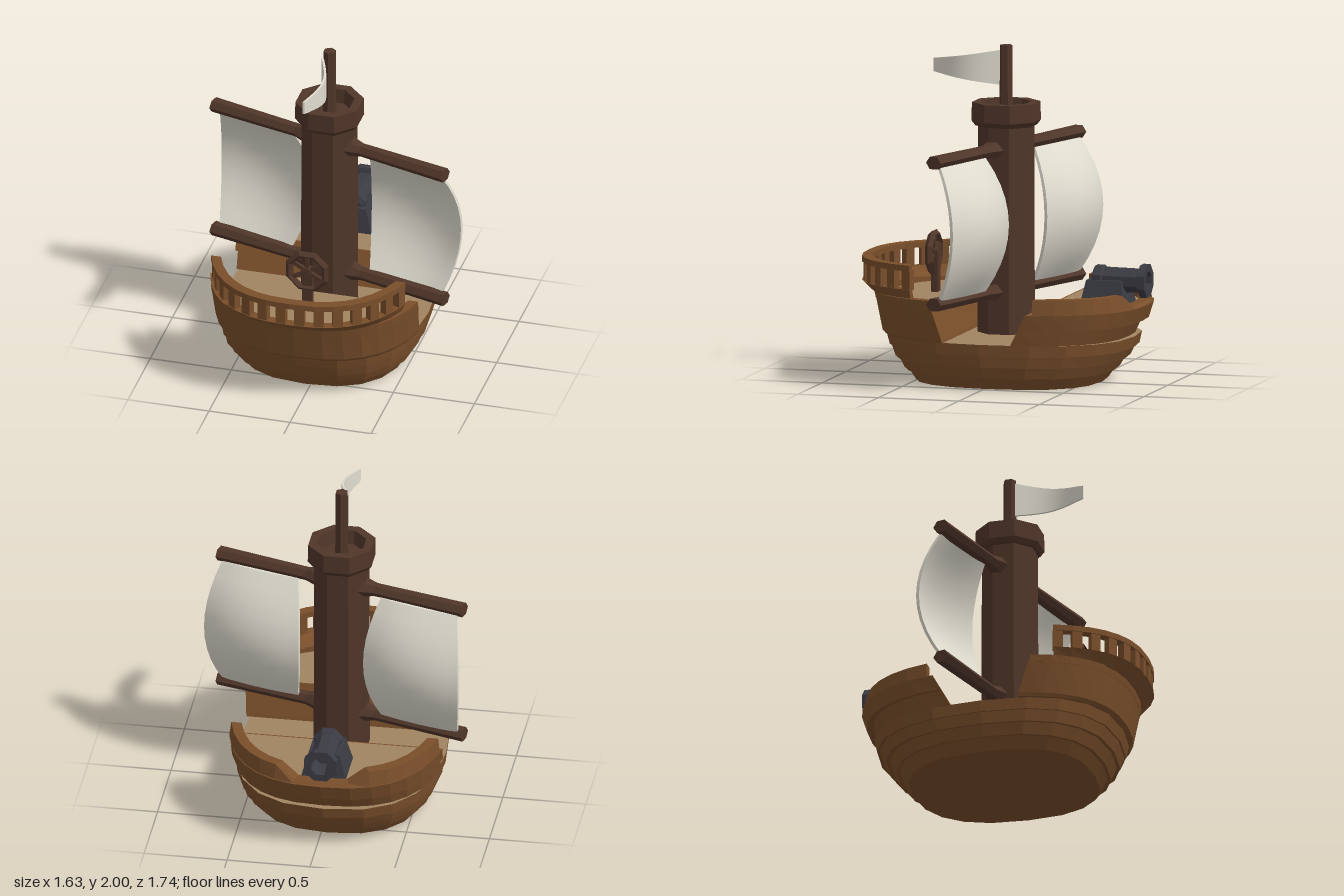
import * as THREE from 'three';

const mat = (name, color, side = THREE.FrontSide) => {
  const m = new THREE.MeshStandardMaterial({ color, side });
  m.name = name;
  return m;
};

export function createModel() {
  const hullWood = mat('hull wood', 0x7a4f2b);
  const deckWood = mat('deck wood', 0xa08460);
  const darkWood = mat('dark wood', 0x50362a);
  const canvas = mat('sail canvas', 0xe0ddd0, THREE.DoubleSide);
  const iron = mat('iron', 0x3b3b43);

  const model = new THREE.Group();
  model.name = 'sailingShip';

  // Adds a mesh; faceted unless smooth is asked for
  function add(name, geo, material, parent, pos = [0, 0, 0], rot = [0, 0, 0], smooth = false) {
    const g = smooth || !geo.index ? geo : geo.toNonIndexed();
    g.computeVertexNormals();
    const m = new THREE.Mesh(g, material);
    m.name = name;
    m.position.set(...pos);
    m.rotation.set(...rot);
    parent.add(m);
    return m;
  }

  const fromPoints = (pts) => new THREE.BufferGeometry().setFromPoints(pts);

  // Hull outline at height y; with a cut, only the part beyond z = cut on one side (1 front, -1 back)
  const POW = 2 / 2.5;
  function outline(y, hx, zf, zb, cut = 0, side = 0, n = 20) {
    const zr = side < 0 ? zb : zf;
    const a = Math.asin(Math.pow(cut / zr, 1 / POW));
    const start = side === 0 ? 0 : side > 0 ? a : Math.PI + a;
    const span = side === 0 ? Math.PI * 2 : Math.PI - 2 * a;
    const count = side === 0 ? n : n + 1;
    return Array.from({ length: count }, (_, i) => {
      const t = start + (span * i) / n, c = Math.cos(t), s = Math.sin(t);
      const bend = (v) => Math.sign(v) * Math.pow(Math.abs(v), POW);
      return new THREE.Vector3(hx * bend(c), y, (s > 0 ? zf : zb) * bend(s));
    });
  }

  // Skin over a stack of outlines
  function loft(rings, closed = true) {
    const out = [];
    for (let i = 0; i < rings.length - 1; i++) {
      const n = rings[i].length;
      for (let j = 0; j < (closed ? n : n - 1); j++) {
        const k = (j + 1) % n;
        const a = rings[i][j], b = rings[i][k], c = rings[i + 1][k], d = rings[i + 1][j];
        out.push(a, d, c, a, c, b);
      }
    }
    return out;
  }

  // Flat lid on an outline
  function lid(ring, up) {
    const mid = ring.reduce((s, p) => s.add(p), new THREE.Vector3()).divideScalar(ring.length);
    return ring.flatMap((p, j) => {
      const q = ring[(j + 1) % ring.length];
      return up ? [mid, q, p] : [mid, p, q];
    });
  }

  // Rim with a four-corner section [y, hx, z] swept along one end of the hull
  function rim(name, section, cut, side, shape = (p) => p) {
    const rings = section.map(([y, hx, z]) => outline(y, hx, z, z, cut, side, 14).map(shape));
    const [p, q, r, s] = rings, e = p.length - 1;
    const pts = loft([...rings, p], false);
    pts.push(p[0], r[0], q[0], p[0], s[0], r[0], p[e], q[e], r[e], p[e], r[e], s[e]);
    add(name, fromPoints(pts), hullWood, hull);
  }

  // Lower hull: overlapping planks, [y, half width, front z, back z]
  const hull = new THREE.Group();
  hull.name = 'hull';
  hull.position.x = -0.04;
  model.add(hull);
  const planks = [
    [0, 0.505, 0.54, 0.58], [0.07, 0.545, 0.585, 0.63],
    [0.07, 0.56, 0.605, 0.65], [0.14, 0.58, 0.64, 0.69],
    [0.14, 0.595, 0.66, 0.715], [0.21, 0.605, 0.685, 0.75],
    [0.21, 0.615, 0.695, 0.77], [0.28, 0.62, 0.715, 0.785],
  ].map((r) => outline(...r));
  add('lowerHull', fromPoints([...loft(planks), ...lid(planks[0], false)]), hullWood, hull);
  add('mainDeck', fromPoints(lid(planks[planks.length - 1], true)), deckWood, hull);

  // Raised decks at both ends, [y, half width, z reach, cut z]
  function castle(name, side, levels, deckLevel) {
    const ring = ([y, hx, z, cut]) => outline(y, hx, z, z, cut, side, 14);
    const rings = [...levels, deckLevel].map(ring);
    add(name, fromPoints([...loft(rings), ...lid(rings[0], false)]), hullWood, hull);
    add(name + 'Deck', fromPoints(lid(rings[rings.length - 1], true)), deckWood, hull);
  }
  castle('frontCastle', 1, [
    [0.28, 0.635, 0.72, 0.23], [0.3, 0.64, 0.74, 0.235], [0.5, 0.665, 0.78, 0.3],
  ], [0.5, 0.63, 0.75, 0.3]);
  castle('backCastle', -1, [
    [0.28, 0.625, 0.745, 0.19], [0.375, 0.635, 0.79, 0.24],
    [0.375, 0.65, 0.83, 0.24], [0.47, 0.66, 0.86, 0.29],
  ], [0.47, 0.6, 0.79, 0.3]);

  // Bulwarks; the back one dips behind the cannon
  rim('frontBulwark', [[0.49, 0.665, 0.78], [0.535, 0.668, 0.79], [0.535, 0.61, 0.73], [0.49, 0.61, 0.73]], 0.31, 1);
  const dip = (p) => {
    if (p.y > 0.5 && Math.abs(p.x) < 0.17) p.y = 0.485;
    return p;
  };
  rim('backBulwark', [[0.465, 0.66, 0.85], [0.56, 0.65, 0.83], [0.56, 0.59, 0.77], [0.465, 0.59, 0.77]], 0.33, -1, dip);

  // Railing: lower beam, posts, handrail
  rim('railBase', [[0.53, 0.635, 0.8], [0.59, 0.65, 0.87], [0.59, 0.595, 0.81], [0.53, 0.58, 0.74]], 0.44, 1);
  rim('handrail', [[0.7, 0.65, 0.87], [0.735, 0.65, 0.87], [0.735, 0.595, 0.81], [0.7, 0.595, 0.81]], 0.44, 1);
  const curve = new THREE.CatmullRomCurve3(outline(0.645, 0.622, 0.84, 0.84, 0.46, 1, 24));
  for (let i = 0; i <= 13; i++) {
    const p = curve.getPointAt(i / 13), t = curve.getTangentAt(i / 13);
    add('railPost', new THREE.BoxGeometry(0.06, 0.12, 0.045), hullWood, hull, p.toArray(), [0, Math.atan2(-t.z, t.x), 0]);
  }

  // Steering wheel on its stand
  const wheel = new THREE.Group();
  wheel.name = 'steeringWheel';
  wheel.position.set(-0.04, 0.735, 0.465);
  model.add(wheel);
  add('wheelRim', new THREE.TorusGeometry(0.118, 0.024, 4, 8), darkWood, wheel, [0, 0, 0], [0, 0, Math.PI / 8]);
  for (let i = 0; i < 3; i++)
    add('spoke', new THREE.BoxGeometry(0.23, 0.022, 0.022), darkWood, wheel, [0, 0, 0], [0, 0, Math.PI / 6 + (i * Math.PI) / 3]);
  add('wheelHub', new THREE.CylinderGeometry(0.03, 0.03, 0.05, 8), darkWood, wheel, [0, 0, 0], [Math.PI / 2, 0, 0]);
  add('wheelStand', new THREE.BoxGeometry(0.06, 0.26, 0.04), darkWood, wheel, [0, -0.12, -0.01]);

  // Mast, hollow lookout and flagpole
  const rig = new THREE.Group();
  rig.name = 'rigging';
  rig.position.set(-0.027, 0, 0.013);
  model.add(rig);
  add('mast', new THREE.CylinderGeometry(0.168, 0.172, 1.29, 8), darkWood, rig, [0, 0.915, 0], [0, Math.PI / 8, 0]);
  const nest = [[0.15, 1.52], [0.185, 1.52], [0.208, 1.55], [0.205, 1.66], [0.15, 1.66], [0.14, 1.57], [0, 1.57]];
  add('lookout', new THREE.LatheGeometry(nest.map((p) => new THREE.Vector2(...p)), 8), darkWood, rig, [0, 0, 0], [0, Math.PI / 8, 0]);
  add('flagpole', new THREE.CylinderGeometry(0.038, 0.042, 0.45, 6), darkWood, rig, [0, 1.775, 0]);

  // Flag: tapering and waving towards the front
  const flag = new THREE.BoxGeometry(0.014, 1, 1, 1, 2, 10);
  const fp = flag.attributes.position;
  for (let i = 0; i < fp.count; i++) {
    const t = fp.getZ(i) + 0.5;
    fp.setXYZ(i, fp.getX(i) - 0.015 + 0.045 * Math.sin(t * Math.PI * 1.25 - 0.35),
      1.86 + fp.getY(i) * (0.21 - 0.13 * t), 0.04 + 0.42 * t);
  }
  add('flag', flag, canvas, rig, [0, 0, 0], [0, 0, 0], true);

  // Turned yards and sails
  const yards = new THREE.Group();
  yards.name = 'yardsAndSails';
  yards.rotation.y = -0.277;
  rig.add(yards);
  for (const s of [1, -1]) {
    for (const y of [1.385, 0.532]) {
      const yard = new THREE.CylinderGeometry(0.052, 0.045, 0.7, 6);
      yard.scale(0.82, 1, 1);
      add('yard', yard, darkWood, yards, [s * 0.455, y, 0], [0, 0, -s * Math.PI / 2]);
      const collar = new THREE.CylinderGeometry(0.045, 0.075, 0.1, 6);
      collar.scale(0.82, 1, 1);
      add('yardCollar', collar, darkWood, yards, [s * 0.18, y, 0], [0, 0, -s * Math.PI / 2]);
    }
    // Sail panel billowing backwards
    const sail = new THREE.BoxGeometry(1, 1, 0.02, 8, 10, 1);
    const p = sail.attributes.position;
    for (let i = 0; i < p.count; i++) {
      const u = p.getX(i) * 2, v = p.getY(i) * 2;
      const belly = 1 - v * v;
      p.setXYZ(i, s * 0.522 + u * (0.25 + 0.06 * belly), 0.955 + v * 0.4,
        p.getZ(i) - 0.02 - belly * (0.125 + 0.05 * (1 - u * u)) - 0.015 * (1 - u * u));
    }
    add('sail', sail, canvas, yards, [0, 0, 0], [0, 0, 0], true);
  }

  // Cannon pointing backwards, with a bored muzzle
  const cannon = new THREE.Group();
  cannon.name = 'cannon';
  cannon.position.set(-0.04, 0.615, 0);
  model.add(cannon);
  const bore = [[0, 0.53], [0.06, 0.53], [0.09, 0.545], [0.09, 0.59], [0.078, 0.6], [0.074, 0.815],
    [0.105, 0.825], [0.105, 0.868], [0.06, 0.868], [0.055, 0.74], [0, 0.74]];
  add('barrel', new THREE.LatheGeometry(bore.map((q) => new THREE.Vector2(...q)), 8), iron, cannon, [0, 0, 0], [-Math.PI / 2, Math.PI / 8, 0]);
  const base = new THREE.BoxGeometry(0.27, 0.15, 0.27);
  const bp = base.attributes.position;
  for (let i = 0; i < bp.count; i++)
    if (bp.getY(i) > 0) bp.setXYZ(i, bp.getX(i) * 0.7, bp.getY(i), bp.getZ(i) * 0.8);
  add('carriage', base, iron, cannon, [0, -0.07, -0.615]);

  return model;
}
